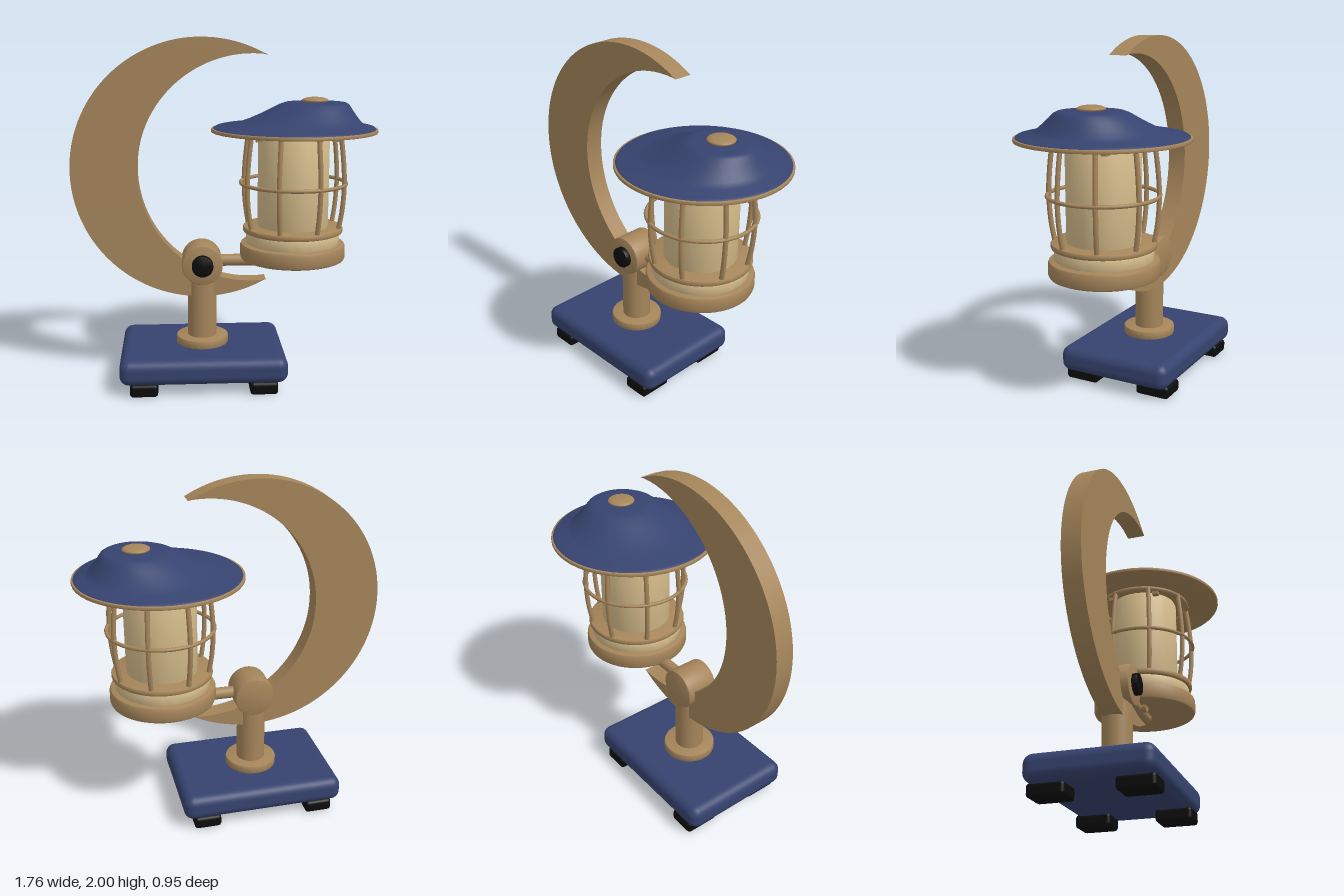
import * as THREE from 'three';
import { mergeVertices, toCreasedNormals } from 'three/addons/utils/BufferGeometryUtils.js';
import { RoundedBoxGeometry } from 'three/addons/geometries/RoundedBoxGeometry.js';

export function createModel() {
  const brass = new THREE.MeshStandardMaterial({ color: 0xa5855a });
  const blue = new THREE.MeshStandardMaterial({ color: 0x36436f });
  const black = new THREE.MeshStandardMaterial({ color: 0x0c0c0c });
  const cream = new THREE.MeshStandardMaterial({ color: 0xd6bd8c });
  brass.name = 'brass';
  blue.name = 'blue paint';
  black.name = 'black rubber';
  cream.name = 'cream glass';

  const model = new THREE.Group();
  model.name = 'moonLantern';
  const lantern = new THREE.Group();
  lantern.name = 'lantern';
  lantern.position.x = 0.4;
  model.add(lantern);

  function add(parent, name, geometry, material, x = 0, y = 0, z = 0) {
    const mesh = new THREE.Mesh(geometry, material);
    mesh.name = name;
    mesh.position.set(x, y, z);
    parent.add(mesh);
    return mesh;
  }
  // Turned drum from y0 to y1 with softened rims of size b
  function drum(r, y0, y1, b = 0.008) {
    const pts = [[0, y0], [r - b, y0], [r - b * 0.3, y0 + b * 0.3], [r, y0 + b],
      [r, y1 - b], [r - b * 0.3, y1 - b * 0.3], [r - b, y1], [0, y1]];
    const geometry = new THREE.LatheGeometry(pts.map(p => new THREE.Vector2(...p)), 48);
    return toCreasedNormals(geometry, 0.7);
  }
  const hoop = (r, tube) => new THREE.TorusGeometry(r, tube, 10, 64).rotateX(Math.PI / 2);

  // Base and feet
  const px = -0.133;
  add(model, 'base', new RoundedBoxGeometry(0.96, 0.15, 0.69, 5, 0.055), blue, px, 0.14, 0);
  for (const sx of [-1, 1]) for (const sz of [-1, 1]) {
    add(model, 'foot', new RoundedBoxGeometry(0.16, 0.075, 0.205, 3, 0.02), black,
      px + sx * 0.342, 0.0375, sz * 0.232);
  }

  // Post with its swivel joint and knob
  add(model, 'postFlange', drum(0.153, 0.21, 0.262), brass, px);
  add(model, 'post', new THREE.CylinderGeometry(0.085, 0.085, 0.46, 40), brass, px, 0.47, 0);
  add(model, 'joint', drum(0.118, -0.095, 0.1).rotateX(Math.PI / 2), brass, px, 0.705, 0);
  add(model, 'knob', drum(0.062, 0.09, 0.132, 0.005).rotateX(Math.PI / 2), black, px, 0.705, 0);

  // Arm under the lantern with a cross pin
  add(model, 'arm', new THREE.CylinderGeometry(0.035, 0.035, 0.5, 24).rotateZ(Math.PI / 2),
    brass, 0.17, 0.712, 0);
  add(model, 'armPin', new THREE.CylinderGeometry(0.03, 0.03, 0.12, 24).rotateX(Math.PI / 2),
    brass, 0.24, 0.713, 0);

  // Crescent moon
  const crescent = new THREE.Shape();
  crescent.absarc(-0.133, 1.255, 0.746, 1.052, Math.PI * 2 - 1.052, false);
  crescent.absarc(0.1555, 1.255, 0.6555, Math.PI * 2 - 1.441, 1.441, true);
  const moon = new THREE.ExtrudeGeometry(crescent,
    { depth: 0.11, bevelEnabled: false, curveSegments: 64 });
  add(model, 'crescentMoon', toCreasedNormals(moon.translate(0, 0, -0.055), 0.6), brass);

  // Lantern foot, collar and glass
  add(lantern, 'lanternFoot', drum(0.308, 0.72, 0.82, 0.02), brass);
  add(lantern, 'collar', drum(0.274, 0.81, 0.885), cream);
  add(lantern, 'collarRim', drum(0.292, 0.883, 0.918, 0.012), brass);
  add(lantern, 'glass', drum(0.206, 0.9, 1.475, 0.02), cream);

  // Cage of hoops and eight bowed bars
  add(lantern, 'cageMidHoop', hoop(0.305, 0.011), brass, 0, 1.172, 0);
  add(lantern, 'cageTopHoop', hoop(0.272, 0.015), brass, 0, 1.458, 0);
  const bow = new THREE.CatmullRomCurve3(
    [[0.27, 0.895], [0.292, 1.03], [0.3, 1.172], [0.292, 1.31], [0.272, 1.475]]
      .map(([r, y]) => new THREE.Vector3(r, y, 0)));
  const barGeometry = new THREE.TubeGeometry(bow, 20, 0.014, 10);
  for (let i = 0; i < 8; i++) {
    add(lantern, 'cageBar', barGeometry, brass).rotation.y = (i + 0.5) * Math.PI / 4;
  }
  // Small clips under the roof
  for (const sx of [-1, 1]) for (const sz of [-1, 1]) {
    add(lantern, 'roofClip', new THREE.BoxGeometry(0.035, 0.05, 0.035), brass,
      sx * 0.215, 1.45, sz * 0.14);
  }

  // Brim and lopsided roof: each ring slides sideways as it rises
  add(lantern, 'brim', drum(0.477, 1.468, 1.488, 0.004), brass);
  const rings = [ // radius, height, sideways shift
    [0.467, 1.486, 0], [0.455, 1.497, 0.003], [0.37, 1.511, 0.028], [0.325, 1.533, 0.05],
    [0.28, 1.562, 0.073], [0.235, 1.595, 0.095], [0.2, 1.622, 0.113],
    [0.175, 1.633, 0.12], [0.14, 1.636, 0.12], [0, 1.638, 0.12]];
  let roof = new THREE.LatheGeometry(rings.map(([r, y]) => new THREE.Vector2(r, y)), 72);
  const pos = roof.attributes.position;
  for (let i = 0; i < pos.count; i++) {
    pos.setX(i, pos.getX(i) + rings[i % rings.length][2]);
  }
  roof.deleteAttribute('uv');
  roof.deleteAttribute('normal');
  roof = mergeVertices(roof, 1e-4);
  roof.computeVertexNormals();
  add(lantern, 'roof', roof, blue);

  // Finial button
  const finial = new THREE.SphereGeometry(0.077, 32, 16).scale(1, 0.26, 1);
  add(lantern, 'finial', finial, brass, 0.118, 1.645, 0);

  return model;
}
